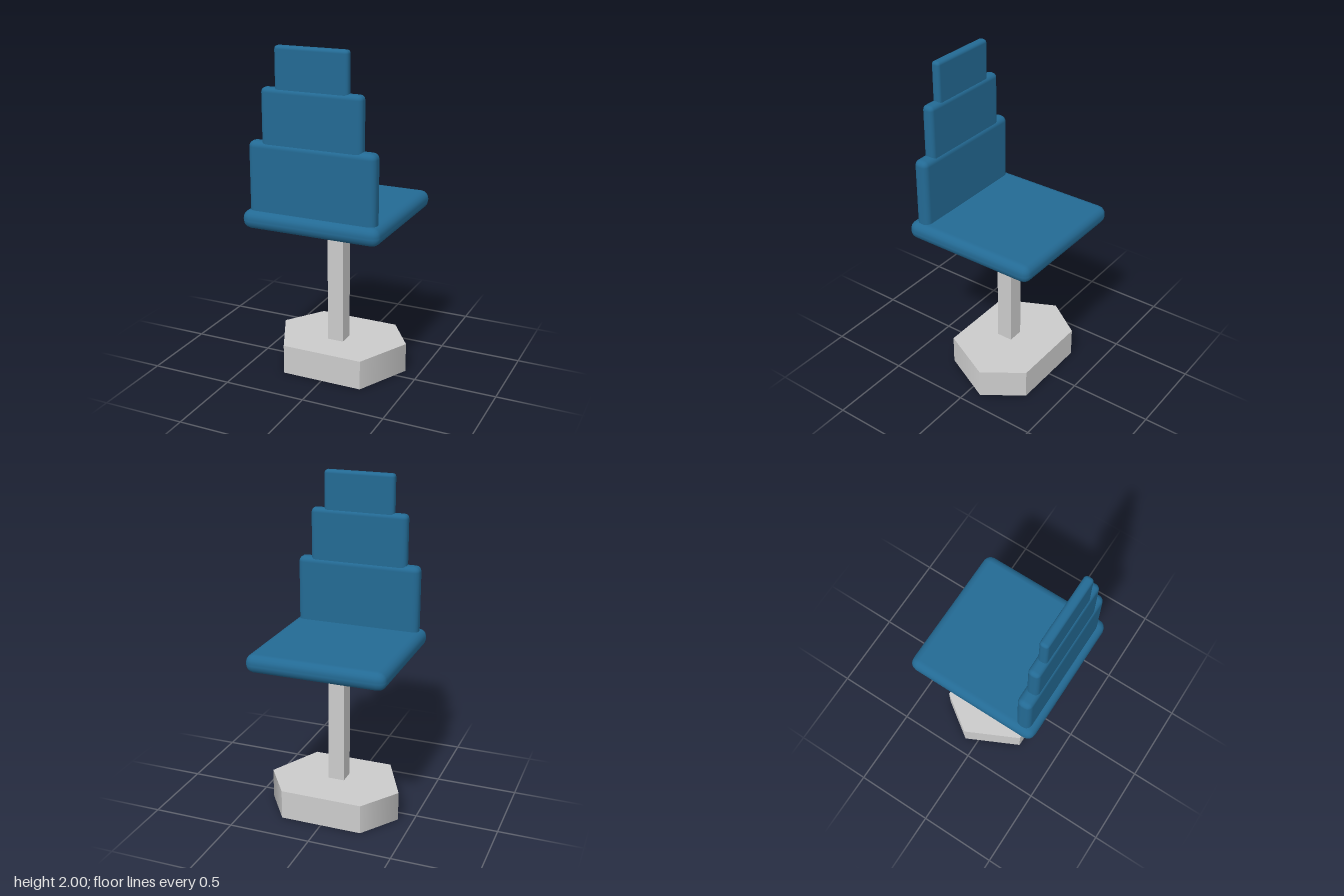
import * as THREE from 'three';
import { RoundedBoxGeometry } from 'three/addons/geometries/RoundedBoxGeometry.js';

export function createModel() {
  const group = new THREE.Group();
  const blue = new THREE.MeshStandardMaterial({ color: 0x236a94 });
  const grey = new THREE.MeshStandardMaterial({ color: 0xcccccc });

  const add = (name, geometry, material, y = 0, z = 0) => {
    const mesh = new THREE.Mesh(geometry, material);
    mesh.name = name;
    mesh.position.set(0, y, z);
    group.add(mesh);
  };

  // Rounded cushion between two heights
  const cushion = (name, width, bottom, top, depth, z, radius) =>
    add(name, new RoundedBoxGeometry(width, top - bottom, depth, 2, radius), blue, (bottom + top) / 2, z);

  // Six-sided foot: outline given as (x, z), sides bulging softly at the outer corners
  const outline = [[-0.25, 0.25], [0.25, 0.25], [0.41, -0.08], [0.25, -0.31], [-0.25, -0.31], [-0.41, -0.08]];
  const shape = new THREE.Shape(outline.map(([x, z]) => new THREE.Vector2(x, -z)));
  const foot = new THREE.ExtrudeGeometry(shape, { depth: 0.18, bevelEnabled: false });
  foot.rotateX(-Math.PI / 2);
  const { position, normal } = foot.attributes;
  for (let i = 0; i < position.count; i++) {
    const x = position.getX(i);
    if (Math.abs(x) > 0.4 && Math.abs(normal.getY(i)) < 0.5) normal.setXYZ(i, Math.sign(x), 0, 0);
  }
  add('base', foot, grey);

  // Square post
  add('post', new THREE.BoxGeometry(0.1, 0.82, 0.1), grey, 0.57);

  // Seat and the three stepped back panels
  cushion('seat', 0.84, 0.955, 1.065, 0.84, 0, 0.05);
  cushion('lowerBackrest', 0.77, 1.0, 1.465, 0.09, 0.337, 0.035);
  cushion('middleBackrest', 0.605, 1.4, 1.77, 0.072, 0.337, 0.028);
  cushion('upperBackrest', 0.437, 1.71, 2.0, 0.054, 0.337, 0.02);

  return group;
}
